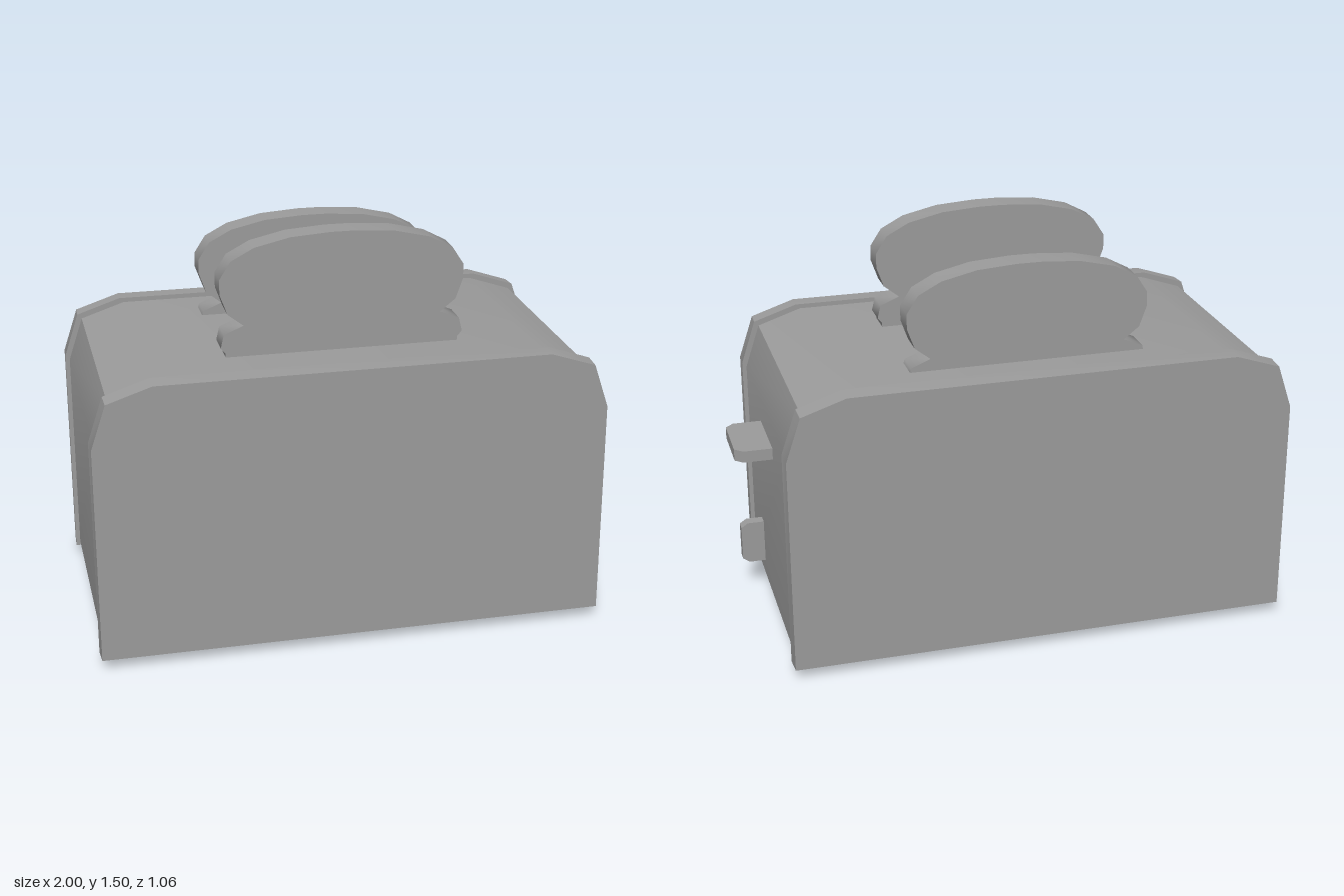
import * as THREE from 'three';
import { toCreasedNormals } from 'three/addons/utils/BufferGeometryUtils.js';

const grey = new THREE.MeshStandardMaterial({ color: 0x9c9c9c });
const CX = -0.061; // middle of the housing along x

function addMesh(group, name, geometry) {
  const mesh = new THREE.Mesh(geometry, grey);
  mesh.name = name;
  group.add(mesh);
  return mesh;
}

// Outline extruded along z, from z = 0 to z = depth
function extrude(points, depth) {
  const shape = new THREE.Shape(points.map(([x, y]) => new THREE.Vector2(x, y)));
  return new THREE.ExtrudeGeometry(shape, { depth, bevelEnabled: false });
}

// Closed outline from its right half, mirrored about x = 0
const mirrored = (half) => [...half, ...half.map(([x, y]) => [-x, y]).reverse()];

// Housing outline: half width w, bottom y0, top y1, with two-step shoulders
const housing = (w, y0, y1) => mirrored([
  [w, y0], [w, y1 - 0.22], [w - 0.055, y1 - 0.055], [w - 0.22, y1],
]);

export function createModel() {
  const model = new THREE.Group();
  model.name = 'toaster';

  // Inner shell between the two end plates
  const shell = toCreasedNormals(extrude(housing(0.923, 0.057, 1.065), 0.94), 0.6);
  addMesh(model, 'shell', shell).position.set(CX, 0, -0.47);

  // Slightly larger plates, narrowing a little toward the outside
  for (const side of [1, -1]) {
    const plate = extrude(housing(0.939, 0.04, 1.082), 0.075);
    const p = plate.attributes.position;
    for (let i = 0; i < p.count; i++) {
      const outer = side > 0 ? p.getZ(i) > 0.04 : p.getZ(i) < 0.04;
      if (outer) p.setXY(i, p.getX(i) * 0.997, 0.561 + (p.getY(i) - 0.561) * 0.993);
    }
    addMesh(model, side > 0 ? 'frontPlate' : 'backPlate', toCreasedNormals(plate, 0.6))
      .position.set(CX, 0, side > 0 ? 0.453 : -0.528);
  }

  // Two bread slices, the back one sitting lower
  const bread = mirrored([
    [0.43, 0.75], [0.43, 1.08], [0.447, 1.1], [0.435, 1.15], [0.363, 1.18],
    [0.42, 1.225], [0.447, 1.3], [0.447, 1.355], [0.405, 1.42], [0.32, 1.465],
    [0.19, 1.495], [0.045, 1.505],
  ]);
  for (const [name, y, z] of [['frontBread', 0, 0.163], ['backBread', -0.07, -0.325]]) {
    addMesh(model, name, toCreasedNormals(extrude(bread, 0.1), 1.1)).position.set(-0.051, y, z);
  }

  // Push lever: flat tab with clipped outer corners
  const lever = extrude([
    [0.82, -0.133], [0.968, -0.133], [0.998, -0.105], [0.998, 0.105], [0.968, 0.133], [0.82, 0.133],
  ], 0.044);
  lever.rotateX(-Math.PI / 2);
  addMesh(model, 'lever', lever).position.y = 0.703;

  // Browning control: upright tab with clipped outer corners
  const control = extrude([
    [0.82, 0.122], [0.925, 0.122], [0.95, 0.14], [0.95, 0.273], [0.925, 0.29], [0.82, 0.29],
  ], 0.043);
  addMesh(model, 'browningControl', control).position.z = 0.203;

  // Four six-sided feet, a corner toward each end
  for (const x of [-0.875, 0.75]) {
    for (const z of [0.354, -0.376]) {
      const foot = new THREE.CylinderGeometry(0.057, 0.057, 0.08, 6, 1, false, Math.PI / 2);
      addMesh(model, 'foot', foot).position.set(x, 0.04, z);
    }
  }
  return model;
}
